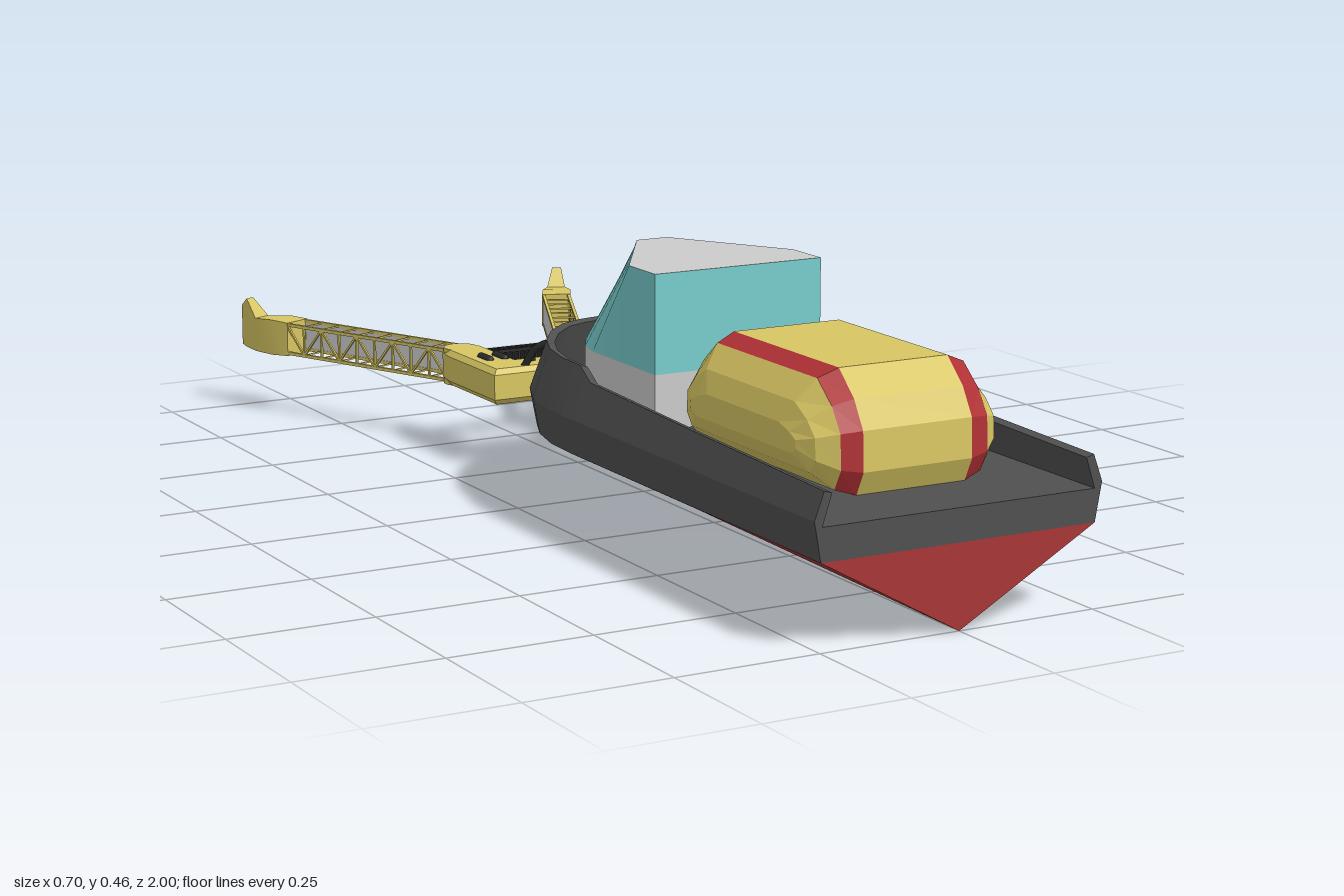
import * as THREE from 'three';
import { toCreasedNormals } from 'three/addons/utils/BufferGeometryUtils.js';

const mat = (color, flatShading = false) =>
  new THREE.MeshStandardMaterial({ color, flatShading, side: THREE.DoubleSide });
const M = {
  yellow: mat(0xd8c663), dark: mat(0x505050), red: mat(0xa83636), black: mat(0x2c2c2c),
  teal: mat(0x78cccc), grey: mat(0xcccccc), capsule: mat(0xd8c663, true), stripe: mat(0xb03034, true),
};

function add(parent, name, geometry, material, x = 0, y = 0, z = 0) {
  const mesh = new THREE.Mesh(geometry, material);
  mesh.name = name;
  mesh.position.set(x, y, z);
  parent.add(mesh);
  return mesh;
}

// Skin over rows of [x, y, z] points; closed joins the last point to the first
function loft(rows, closed = false, crease = 0.5) {
  const pos = [];
  for (let i = 0; i < rows.length - 1; i++) {
    const a = rows[i], b = rows[i + 1], n = a.length;
    for (let j = 0; j < (closed ? n : n - 1); j++) {
      const k = (j + 1) % n;
      pos.push(...a[j], ...b[j], ...b[k], ...a[j], ...b[k], ...a[k]);
    }
  }
  const g = new THREE.BufferGeometry();
  g.setAttribute('position', new THREE.Float32BufferAttribute(pos, 3));
  return toCreasedNormals(g, crease);
}

// Flat fan cap over a convex loop
function cap(loop) {
  const pos = [];
  for (let i = 1; i < loop.length - 1; i++) pos.push(...loop[0], ...loop[i], ...loop[i + 1]);
  const g = new THREE.BufferGeometry();
  g.setAttribute('position', new THREE.Float32BufferAttribute(pos, 3));
  g.computeVertexNormals();
  return g;
}

// Straight square bar between two points
function bar(parent, name, a, b, t, material) {
  const p = new THREE.Vector3(...a), q = new THREE.Vector3(...b);
  const m = add(parent, name, new THREE.BoxGeometry(t, t, p.distanceTo(q)), material);
  m.position.copy(p).add(q).multiplyScalar(0.5);
  m.lookAt(q);
}

const mirror = (p) => [-p[0], p[1], p[2]];

function buildHull() {
  const hull = new THREE.Group();
  hull.name = 'hull';
  // Half-width, z, keel height and bulwark height from stern to bow
  const st = [
    [.262, 1, 0, .25], [.262, .6, .01, .26], [.262, .25, .018, .27], [.262, .2, .019, .29],
    [.258, .12, .022, .29], [.24, .04, .045, .29], [.21, -.03, .08, .29], [.165, -.1, .105, .29],
    [.11, -.155, .128, .29], [.055, -.18, .136, .29], [0, -.19, .138, .29],
  ];
  // Outline moved inward by d
  const at = (i, d, y) => {
    const [w, z] = st[i];
    const p = st[Math.max(i - 1, 0)];
    const q = i === st.length - 1 ? [-.055, -.18] : st[i + 1];
    let nx = p[1] - q[1], nz = q[0] - p[0];
    const l = Math.hypot(nx, nz);
    nx /= l; nz /= l;
    return [Math.max(w - nx * d, 0), y, z - nz * d];
  };
  const topIn = (i) => .03 * (st[i][3] - .2) / .09;
  const levels = {
    keel: (i) => [0, st[i][2], Math.max(st[i][1], -.172)],
    chine: (i) => at(i, .012, .14),
    mid: (i) => at(i, 0, .205),
    top: (i) => at(i, topIn(i), st[i][3]),
    rim: (i) => at(i, topIn(i) + .014, st[i][3] - .004),
    deck: (i) => at(i, .014, .195),
  };
  const row = (name) => st.map((_, i) => levels[name](i));
  const surface = (rows) => [rows, rows.map((r) => r.map(mirror))];
  for (const half of surface([row('keel'), row('chine')])) add(hull, 'bottom', loft(half), M.red);
  for (const half of surface(['chine', 'mid', 'top', 'rim', 'deck'].map(row)))
    add(hull, 'bulwark', loft(half), M.dark);
  add(hull, 'deck', loft([row('deck'), row('deck').map(mirror)]), M.dark);

  // Stern plates
  const c = levels.chine(0), m = levels.mid(0), d = levels.deck(0);
  add(hull, 'transomBottom', cap([levels.keel(0), c, mirror(c)]), M.red);
  add(hull, 'transomTop', cap([c, [.26, .195, 1], mirror([.26, .195, 1]), mirror(c)]), M.dark);
  const end = [d, [.26, .195, 1], m, levels.top(0), levels.rim(0)];
  add(hull, 'bulwarkEnd', cap(end), M.dark);
  add(hull, 'bulwarkEnd', cap(end.map(mirror)), M.dark);
  return hull;
}

function buildCabin() {
  const cabin = new THREE.Group();
  cabin.name = 'cabin';
  const base = [[.16, .33], [.16, .24], [.16, .11], [.148, .06], [.12, .01], [.085, -.035], [.055, -.045]];
  const roof = [[.16, .33], [.16, .24], [.134, .198], [.108, .156], [.082, .114], [.056, .072], [.03, .03]];
  const ring = (pts, y) => {
    const half = pts.map(([x, z]) => [x, y, z]);
    return [...half, ...half.map(mirror).reverse()];
  };
  add(cabin, 'cabinBase', loft([ring(base, .195), ring(base, .29)], true), M.grey);
  add(cabin, 'windows', loft([ring(base, .29), ring(roof, .46)], true, .6), M.teal);
  add(cabin, 'roof', cap(ring(roof, .46)), M.grey);
  return cabin;
}

function buildCapsule() {
  const capsule = new THREE.Group();
  capsule.name = 'cargoCapsule';
  // Half-profile of the full section: half-length, height
  const prof = [[.215, .195], [.235, .235], [.232, .3], [.205, .345], [.16, .386]];
  const ring = (x, sz, sy) => {
    const half = prof.map(([z, y]) => [x, .275 + (y - .275) * sy, z * sz]);
    return [...half, ...half.map(([a, y, z]) => [a, y, -z]).reverse()].map(([a, y, z]) => [a, y, z + .645]);
  };
  const R = [ring(.1, 1, 1), ring(.135, .96, .87), ring(.165, .85, .54), ring(.179, .7, .22)];
  const flip = (rows) => rows.map((r) => r.map(mirror));
  add(capsule, 'capsuleMiddle', loft([R[0], R[0].map(mirror)], true, 0), M.capsule);
  for (const f of [(r) => r, flip]) {
    add(capsule, 'capsuleStripe', loft(f(R.slice(0, 2)), true, 0), M.stripe);
    add(capsule, 'capsuleEnd', loft(f(R.slice(1)), true, 0), M.capsule);
    add(capsule, 'capsuleEndCap', cap(f([R[3]])[0]), M.capsule);
  }
  return capsule;
}

// Truss arm with claw, running along local -z
function buildArm() {
  const arm = new THREE.Group();
  arm.name = 'grabArm';
  const L = .408, w = .025, lo = .122, hi = .178, n = 9;
  for (const x of [-w, w]) for (const y of [lo, hi]) bar(arm, 'rail', [x, y, 0], [x, y, -L], .006, M.yellow);
  add(arm, 'innerPanel', new THREE.BoxGeometry(.004, hi - lo, L), M.grey, -w, .15, -L / 2);
  for (let i = 0; i < n; i++) {
    const a = -L * i / n, b = -L * (i + 1) / n, up = i % 2;
    bar(arm, 'diagonal', [w, up ? hi : lo, a], [w, up ? lo : hi, b], .004, M.yellow);
    bar(arm, 'upright', [w, lo, b], [w, hi, b], .004, M.yellow);
    for (const y of [lo, hi]) bar(arm, 'crossStrut', [-w, y, b], [w, y, b], .003, M.yellow);
  }
  // Claw sections: distance, centre x, half-width, bottom, top
  const secs = [[-.005, 0, .029, .117, .182], [.035, .003, .028, .115, .184], [.085, .005, .018, .115, .18],
    [.113, .008, .009, .118, .215], [.13, .01, .003, .122, .2]];
  const rows = secs.map(([s, c, h, y0, y1]) =>
    [[c - h, y0, -L - s], [c + h, y0, -L - s], [c + h, y1, -L - s], [c - h, y1, -L - s]]);
  add(arm, 'claw', loft(rows, true), M.yellow);
  add(arm, 'clawBack', cap(rows[0]), M.yellow);
  add(arm, 'clawTip', cap(rows[4]), M.yellow);
  arm.position.set(.12, 0, -.51);
  arm.rotation.y = -.417;
  return arm;
}

function buildGrab() {
  const grab = new THREE.Group();
  grab.name = 'grab';
  // U-shaped carrier, plan drawn with forward as +y
  const half = [[.15, .28], [.15, .465], [.143, .5], [.12, .512], [.095, .505], [.085, .48], [.085, .338]];
  const plan = [...half, ...half.map(([x, y]) => [-x, y]).reverse()].map((p) => new THREE.Vector2(...p));
  const frame = new THREE.ExtrudeGeometry(new THREE.Shape(plan),
    { depth: .046, bevelThickness: .01, bevelSize: .008, bevelSegments: 1 });
  add(grab, 'carrier', frame.rotateX(-Math.PI / 2), M.yellow, 0, .129, 0);
  bar(grab, 'crossRod', [-.08, .15, -.41], [.08, .15, -.41], .008, M.black);
  // Ladder-like rack between the arms
  for (const y of [.132, .172]) for (const z of [-.473, -.493])
    bar(grab, 'rackRail', [-.085, y, z], [.085, y, z], .006, M.black);
  for (let i = 0; i < 12; i++) {
    const x = -.066 + i * .012;
    add(grab, 'rackTooth', new THREE.BoxGeometry(.004, .046, .022), M.black, x, .152, -.483);
  }
  // Both sides: arm, hinge, vents and hose
  for (const s of [1, -1]) {
    const side = new THREE.Group();
    side.name = s > 0 ? 'leftSide' : 'rightSide';
    side.scale.x = s;
    side.add(buildArm());
    add(side, 'hinge', new THREE.CylinderGeometry(.032, .032, .068, 20), M.yellow, .12, .151, -.49);
    for (const x of [.095, .125]) {
      const vent = new THREE.CapsuleGeometry(.008, .035, 3, 8).rotateX(Math.PI / 2);
      add(side, 'vent', vent, M.black, x, .185, -.375);
    }
    add(side, 'bolt', new THREE.CylinderGeometry(.009, .009, .01, 10), M.black, .06, .186, -.32);
    const hose = new THREE.CatmullRomCurve3([[.01, .19, -.18], [.02, .222, -.2], [.045, .234, -.23],
      [.075, .22, -.265], [.09, .18, -.29]].map((p) => new THREE.Vector3(...p)));
    add(side, 'hose', new THREE.TubeGeometry(hose, 20, .007, 8), M.black);
    grab.add(side);
  }
  // Coupling to the bow
  add(grab, 'coupling', new THREE.BoxGeometry(.03, .03, .12), M.dark, 0, .16, -.22);
  add(grab, 'couplingPin', new THREE.CylinderGeometry(.012, .012, .05, 12), M.dark, 0, .165, -.225);
  return grab;
}

export function createModel() {
  const model = new THREE.Group();
  model.name = 'workBoat';
  model.add(buildHull(), buildCabin(), buildCapsule(), buildGrab());
  return model;
}
